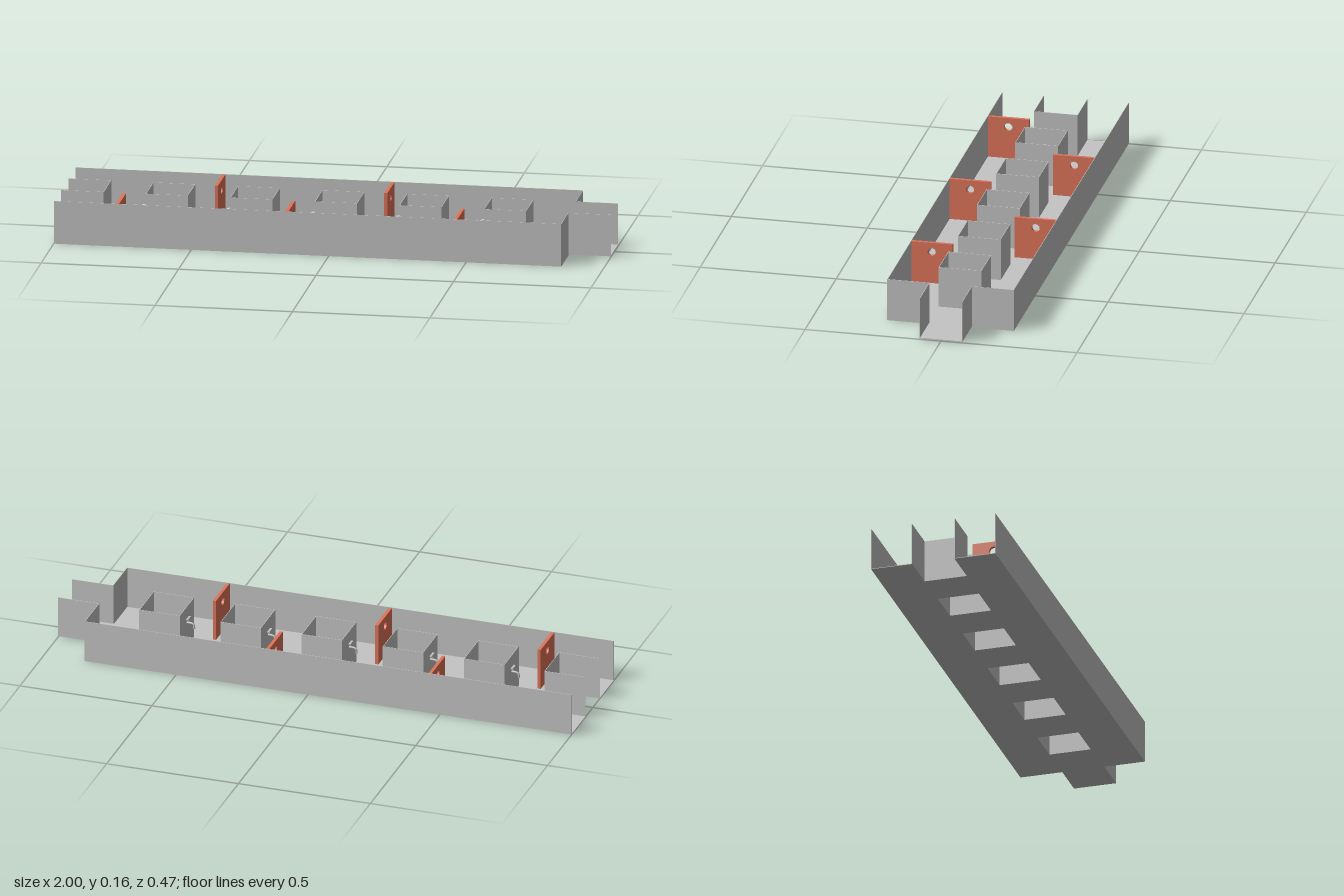
import * as THREE from 'three';

// Grid unit of the tray, wall height, sheet thickness
const U = 2 / 13, H = 0.158, T = 0.002;
const ZO = 0.233, ZI = 0.079;

export function createModel() {
  const model = new THREE.Group();
  const sheet = new THREE.MeshStandardMaterial({ color: 0xc5c5c5 });
  sheet.name = 'light grey sheet';
  const rust = new THREE.MeshStandardMaterial({ color: 0xe0755a });
  rust.name = 'coral red';

  // Box given by its two corners
  function block(name, x0, x1, y0, y1, z0, z1, parent = model) {
    const m = new THREE.Mesh(new THREE.BoxGeometry(x1 - x0, y1 - y0, z1 - z0), sheet);
    m.position.set((x0 + x1) / 2, (y0 + y1) / 2, (z0 + z1) / 2);
    m.name = name;
    parent.add(m);
  }

  const xs = (i) => -1 + i * U;
  const end = xs(12);
  const points = (list) => list.map((p) => new THREE.Vector2(...p));

  // Floor with an end notch and five square openings
  const floor = new THREE.Shape(points([
    [-1, -ZO], [end, -ZO], [end, ZO], [-1, ZO],
    [-1, ZI], [xs(1), ZI], [xs(1), -ZI], [-1, -ZI],
  ]));
  for (let i = 2; i <= 10; i += 2) {
    floor.holes.push(new THREE.Path(points([
      [xs(i), -ZI], [xs(i), ZI], [xs(i + 1), ZI], [xs(i + 1), -ZI],
    ])));
  }
  const floorGeo = new THREE.ExtrudeGeometry(floor, { depth: T, bevelEnabled: false });
  floorGeo.rotateX(-Math.PI / 2);
  const floorMesh = new THREE.Mesh(floorGeo, sheet);
  floorMesh.name = 'floor';
  model.add(floorMesh);

  // Outer walls, end walls, notch walls and connector walls on both sides
  for (const s of [1, -1]) {
    const strip = (name, x0, x1, y0, za, zb) =>
      block(name, x0, x1, y0, H, Math.min(s * za, s * zb), Math.max(s * za, s * zb));
    strip('outerWall', -1, end, 0, ZO - T, ZO);
    strip('endWall', end - T, end, 0, ZI, ZO);
    strip('notchWall', -1, xs(1), 0, ZI, ZI + T);
    strip('connectorWall', end - T, 1, 0.005, ZI - T, ZI);
  }
  block('notchEndWall', xs(1), xs(1) + T, 0, H, -ZI, ZI);
  block('connectorFloor', xs(11), 1, 0.004, 0.006, -ZI, ZI);

  // Square open shafts, each with a small tap on its -x face
  for (let i = 2; i <= 10; i += 2) {
    const shaft = new THREE.Group();
    shaft.name = 'shaft';
    const a = xs(i), b = xs(i + 1);
    block('shaftSide', a, b, 0, H, ZI - T, ZI, shaft);
    block('shaftSide', a, b, 0, H, -ZI, -ZI + T, shaft);
    block('shaftEnd', a, a + T, 0, H, -ZI, ZI, shaft);
    block('shaftEnd', b - T, b, 0, H, -ZI, ZI, shaft);

    const spoutPath = new THREE.CatmullRomCurve3([
      new THREE.Vector3(a + 0.008, 0.095, 0),
      new THREE.Vector3(a - 0.015, 0.095, 0),
      new THREE.Vector3(a - 0.025, 0.091, 0),
      new THREE.Vector3(a - 0.028, 0.075, 0),
    ]);
    const spout = new THREE.Mesh(new THREE.TubeGeometry(spoutPath, 12, 0.004, 8), sheet);
    spout.name = 'tapSpout';
    shaft.add(spout);
    block('tapStem', a - 0.008, a - 0.004, 0.097, 0.111, -0.002, 0.002, shaft);
    block('tapHandle', a - 0.01, a - 0.002, 0.111, 0.115, -0.016, 0.016, shaft);
    model.add(shaft);
  }

  // Red baffles with a small hole, alternating between the two channels
  const plate = new THREE.Shape(points([
    [ZI, T], [ZO - T, T], [ZO - T, H - 0.001], [ZI, H - 0.001],
  ]));
  const hole = new THREE.Path();
  hole.absarc((ZI + ZO) / 2, 0.122, 0.015, 0, Math.PI * 2, true);
  plate.holes.push(hole);
  const plateGeo = new THREE.ExtrudeGeometry(plate, { depth: 0.012, bevelEnabled: false, curveSegments: 10 });
  plateGeo.translate(0, 0, -0.006);
  for (let k = 0; k < 5; k++) {
    const baffle = new THREE.Mesh(plateGeo, rust);
    baffle.rotation.y = k % 2 ? Math.PI / 2 : -Math.PI / 2;
    baffle.position.x = xs(1.5 + 2 * k);
    baffle.name = 'baffle';
    model.add(baffle);
  }
  return model;
}
